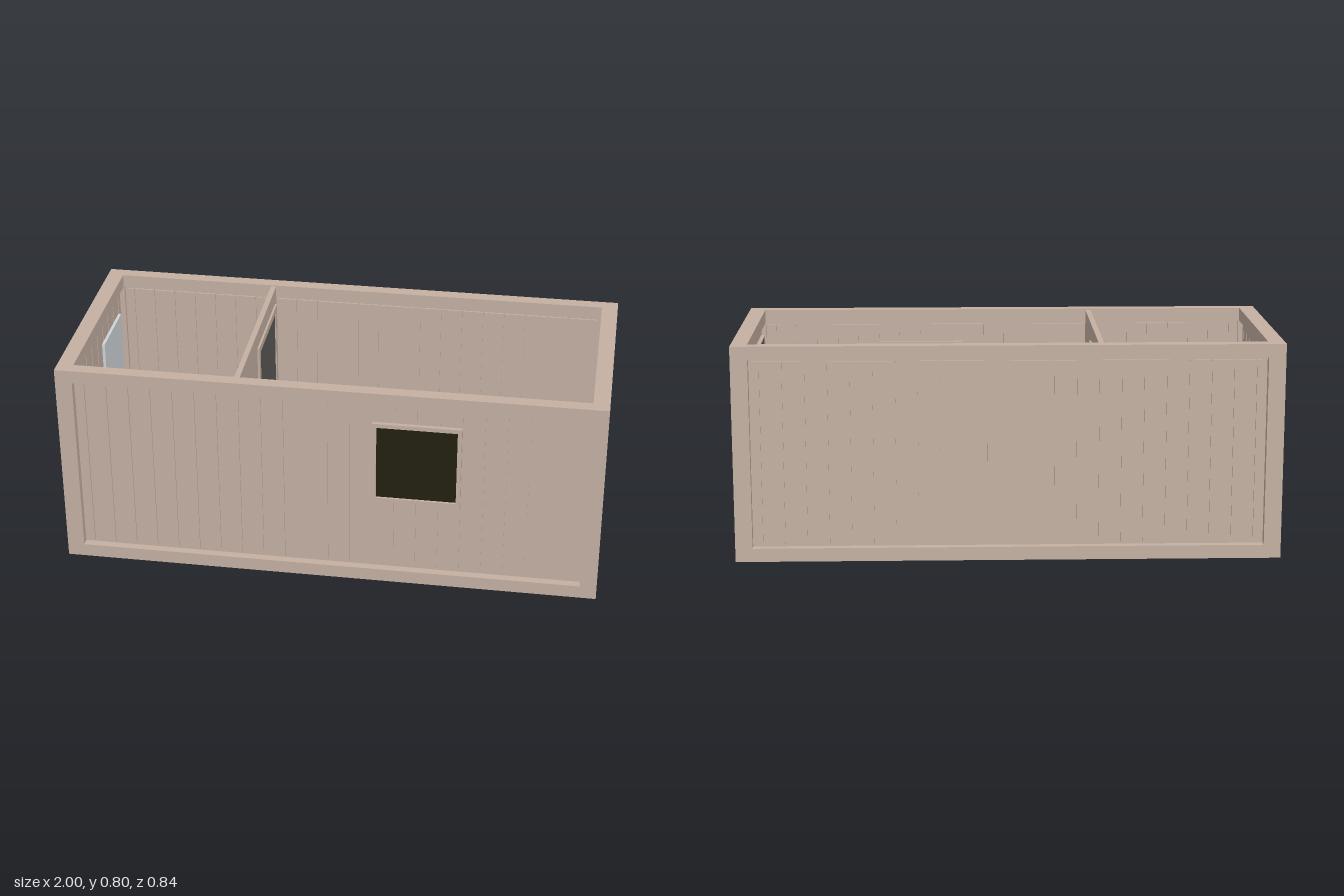
import * as THREE from 'three';

const mat = (name, color) => Object.assign(new THREE.MeshStandardMaterial({ color }), { name });

export function createModel() {
  const tan = mat('beige panel', 0xc4b0a2);
  const floorGrey = mat('floor grey', 0xb2b2b2);
  const doorGrey = mat('dark door grey', 0x5a5856);
  const glass = mat('dark glass', 0x23200f);
  const mirrorGrey = mat('mirror grey', 0xd0d4d8);
  const steel = mat('basin steel', 0xb4b8b8);
  const model = new THREE.Group();
  model.name = 'cabin';

  const add = (parent, name, geo, material, x = 0, y = 0, z = 0) => {
    const m = new THREE.Mesh(geo, material);
    m.name = name;
    m.position.set(x, y, z);
    parent.add(m);
    return m;
  };
  // Box given by its lower and upper corners
  const box = (parent, name, material, a, b) => add(parent, name,
    new THREE.BoxGeometry(b[0] - a[0], b[1] - a[1], b[2] - a[2]), material,
    (a[0] + b[0]) / 2, (a[1] + b[1]) / 2, (a[2] + b[2]) / 2);
  const group = (name, parent = model) => {
    const g = new THREE.Group();
    g.name = name;
    parent.add(g);
    return g;
  };
  const rect = (w, h) => [[-w, -h], [w, -h], [w, h], [-w, h]].map(p => new THREE.Vector2(...p));
  // Rectangular ring with half sizes outside and inside
  const ring = (w, h, iw, ih, depth) => {
    const s = new THREE.Shape(rect(w, h));
    s.holes.push(new THREE.Path(rect(iw, ih)));
    return new THREE.ExtrudeGeometry(s, { depth, bevelEnabled: false });
  };

  // Steel-like frame: bottom ring, top ring and four posts
  for (const [name, y] of [['bottomFrame', 0], ['topFrame', 0.75]]) {
    add(model, name, ring(1, 0.42, 0.94, 0.372, 0.05), tan, 0, y + 0.05, 0).rotation.x = Math.PI / 2;
  }
  for (const sx of [-1, 1]) for (const sz of [-1, 1]) {
    add(model, 'cornerPost', new THREE.BoxGeometry(0.063, 0.7, 0.049), tan, sx * 0.9685, 0.4, sz * 0.3955);
  }
  box(model, 'floor', floorGrey, [-0.94, 0.008, -0.372], [0.94, 0.046, 0.372]);

  // Wall of vertical planks on both sides of a thin core, facing +z
  const wall = (name, half, skip, distance, turn) => {
    const g = group(name);
    const gap = 0.006, pitch = 0.0815, end = half - 0.01;
    box(g, 'core', tan, [-half, 0.05, distance - 0.012], [half, 0.75, distance - 0.007]);
    const cuts = [-end];
    const n = Math.floor((end - 0.01) / pitch);
    for (let k = -n; k <= n; k++) if (!skip.includes(k)) cuts.push(k * pitch);
    cuts.push(end);
    for (let i = 0; i < cuts.length - 1; i++) {
      box(g, 'plank', tan, [cuts[i] + gap / 2, 0.06, distance - 0.018],
        [cuts[i + 1] - gap / 2, 0.74, distance]);
    }
    g.rotation.y = turn;
  };
  wall('frontWall', 0.937, [-1, 2], 0.397, 0);
  wall('backWall', 0.937, [-2, 1], 0.397, Math.PI);
  wall('rightWall', 0.371, [], 0.972, Math.PI / 2);
  wall('leftWall', 0.371, [], 0.972, -Math.PI / 2);
  box(model, 'partition', tan, [-0.347, 0.046, -0.372], [-0.327, 0.795, 0.372]);

  // Door with wide front trim, jamb, leaf and lever handle, facing +x
  const door = (name, x, z) => {
    const g = group(name);
    add(g, 'trim', ring(0.185, 0.332, 0.16, 0.307, 0.008), tan, 0, 0.402, 0);
    add(g, 'jamb', ring(0.16, 0.307, 0.156, 0.303, 0.04), tan, 0, 0.402, -0.033);
    box(g, 'leaf', doorGrey, [-0.156, 0.099, -0.03], [0.156, 0.705, 0.004]);
    const spindle = add(g, 'handleSpindle', new THREE.CylinderGeometry(0.005, 0.005, 0.014, 12), tan, -0.121, 0.4, 0.01);
    spindle.rotation.x = Math.PI / 2;
    const lever = new THREE.Shape([[-0.127, -0.005], [-0.07, -0.002], [-0.067, 0.002], [-0.127, 0.006]]
      .map(p => new THREE.Vector2(...p)));
    add(g, 'handleLever', new THREE.ExtrudeGeometry(lever, { depth: 0.005, bevelEnabled: false }), tan, 0, 0.4, 0.016);
    g.rotation.y = Math.PI / 2;
    g.position.set(x, 0, z);
  };
  door('entranceDoor', 0.972, 0.163);
  door('innerDoor', -0.327, -0.157);

  // Window: outer frame, glass and closed inner shutter
  const win = group('window');
  add(win, 'windowFrame', ring(0.162, 0.164, 0.147, 0.148, 0.016), tan, 0.323, 0.508, 0.396);
  box(win, 'windowGlass', glass, [0.176, 0.36, 0.397], [0.47, 0.656, 0.403]);
  box(win, 'innerShutter', tan, [0.161, 0.344, 0.367], [0.485, 0.672, 0.38]);

  // Mirror set through the left wall
  box(model, 'mirror', mirrorGrey, [-0.98, 0.39, -0.32], [-0.943, 0.655, -0.06]);

  // Wash basin: stacked rounded outlines lofted into a shell
  const basin = group('washBasin');
  const outline = (x1, hw, r) => {
    const s = new THREE.Shape();
    const x0 = 0.175 - x1;
    s.moveTo(x0, -hw);
    s.lineTo(x1 - r, -hw);
    s.quadraticCurveTo(x1, -hw, x1, -hw + r);
    s.lineTo(x1, hw - r);
    s.quadraticCurveTo(x1, hw, x1 - r, hw);
    s.lineTo(x0, hw);
    s.closePath();
    return s;
  };
  const rim = outline(0.175, 0.092, 0.06);
  rim.holes.push(outline(0.16, 0.077, 0.05));
  add(basin, 'rim', new THREE.ExtrudeGeometry(rim, { depth: 0.012, bevelEnabled: false, curveSegments: 10 }), steel, 0, 0.28, 0);
  const rows = [[0.175, 0.092, 0.28], [0.15, 0.07, 0.22], [0.125, 0.045, 0.21],
    [0.125, 0.045, 0.216], [0.145, 0.065, 0.225], [0.16, 0.077, 0.29]];
  const pos = [], idx = [];
  let count = 0;
  rows.forEach(([x1, hw, y], r) => {
    const pts = outline(x1, hw, hw * 0.65).getPoints(10);
    count = pts.length;
    pts.forEach((p, i) => {
      pos.push(p.x, y, -p.y);
      if (r && i < count - 1) {
        const a = (r - 1) * count + i, b = a + count;
        idx.push(a, a + 1, b, a + 1, b + 1, b);
      }
    });
  });
  const bowl = new THREE.BufferGeometry();
  bowl.setAttribute('position', new THREE.Float32BufferAttribute(pos, 3));
  bowl.setIndex(idx);
  bowl.computeVertexNormals();
  steel.side = THREE.DoubleSide;
  add(basin, 'bowl', bowl, steel);
  add(basin, 'bowlBase', new THREE.ShapeGeometry(outline(0.125, 0.045, 0.03)), steel, 0, 0.216, 0);
  for (const part of basin.children) if (part.name !== 'bowl') part.rotation.x = -Math.PI / 2;

  // Tap with a curved spout and two side levers
  add(basin, 'tapBase', new THREE.CylinderGeometry(0.011, 0.013, 0.03, 16), steel, 0.02, 0.3, 0);
  const spout = new THREE.CatmullRomCurve3([[0.02, 0.3], [0.024, 0.335], [0.05, 0.348], [0.078, 0.325]]
    .map(([x, y]) => new THREE.Vector3(x, y, 0)));
  add(basin, 'tapSpout', new THREE.TubeGeometry(spout, 16, 0.007, 10), steel);
  for (const s of [-1, 1]) {
    add(basin, 'tapKnob', new THREE.CylinderGeometry(0.008, 0.008, 0.025, 12), steel, 0.02, 0.3, s * 0.026);
  }
  basin.position.set(-0.955, 0, -0.2);

  return model;
}
